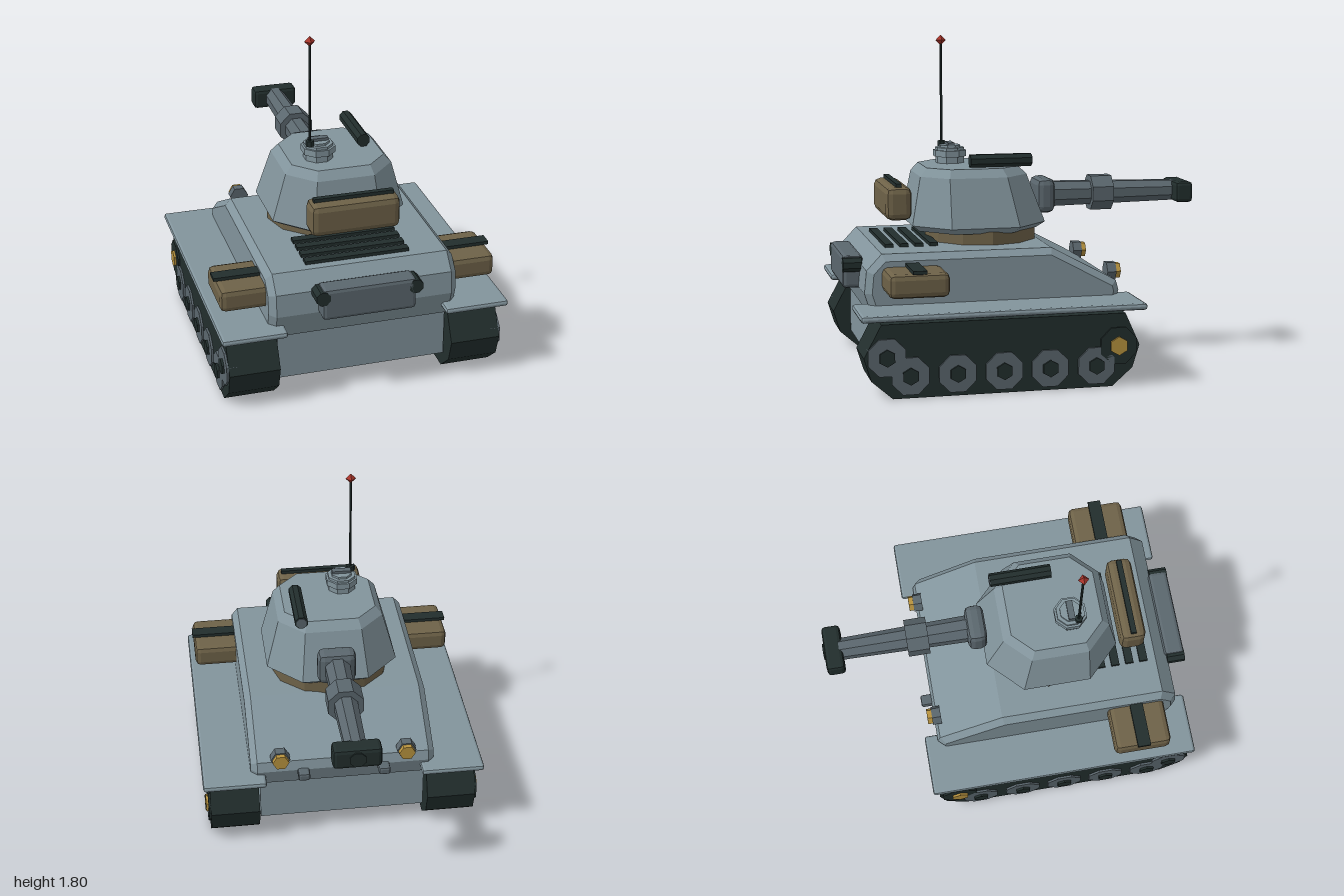
import * as THREE from 'three';
import { RoundedBoxGeometry } from 'three/addons/geometries/RoundedBoxGeometry.js';
import { ConvexGeometry } from 'three/addons/geometries/ConvexGeometry.js';

export function createModel() {
  const model = new THREE.Group();
  model.name = 'tank';

  const paint = (name, color) => Object.assign(new THREE.MeshStandardMaterial({ color }), { name });
  const armour = paint('armour blue grey', 0x82949c);
  const steel = paint('steel grey', 0x5b676e);
  const dark = paint('rubber black', 0x222e2d);
  const canvas = paint('canvas brown', 0x6e6248);
  const brass = paint('brass', 0xb8933f);
  const red = paint('red', 0xa8352b);

  // Faceted mesh at a position
  function add(name, geo, mat, x = 0, y = 0, z = 0) {
    const g = geo.index ? geo.toNonIndexed() : geo;
    g.computeVertexNormals();
    const mesh = new THREE.Mesh(g, mat);
    mesh.name = name;
    mesh.position.set(x, y, z);
    model.add(mesh);
    return mesh;
  }
  const box = (w, h, d) => new THREE.BoxGeometry(w, h, d);
  const chamferBox = (w, h, d, r) => new RoundedBoxGeometry(w, h, d, 1, r);
  // Prism with a flat side on top, lying along x or z
  function prism(axis, rA, rB, length, sides) {
    const g = new THREE.CylinderGeometry(rA, rB, length, sides);
    g.rotateY(Math.PI / sides);
    return axis === 'x' ? g.rotateZ(-Math.PI / 2) : g.rotateX(-Math.PI / 2);
  }
  // Side profile given as [z, y], extruded across x
  function sideExtrude(points, width, bevel) {
    const shape = new THREE.Shape(points.map(([z, y]) => new THREE.Vector2(z, y)));
    const depth = width - 2 * bevel;
    const g = new THREE.ExtrudeGeometry(shape, {
      depth, bevelEnabled: bevel > 0, bevelThickness: bevel, bevelSize: bevel,
      bevelOffset: -bevel, bevelSegments: 1,
    });
    return g.translate(0, 0, -depth / 2).rotateY(-Math.PI / 2);
  }

  // Hull
  add('lowerHull', box(0.91, 0.29, 1.26), armour, 0, 0.255, 0.23);
  add('upperHull', sideExtrude([
    [0.87, 0.365], [0.912, 0.5], [0.9, 0.62], [0.82, 0.705],
    [-0.085, 0.705], [-0.44, 0.515], [-0.455, 0.46], [-0.425, 0.365],
  ], 1.01, 0.035), armour);

  // Running gear, fenders, side boxes and lamps, mirrored
  const trackProfile = [
    [0.866, 0.39], [0.957, 0.22], [0.92, 0.1], [0.81, 0.004],
    [-0.345, 0.004], [-0.455, 0.1], [-0.492, 0.22], [-0.415, 0.39],
  ];
  const wheels = [0.72, 0.476, 0.233, -0.01, -0.257].map((z) => [z, 0.12]);
  wheels.push([0.84, 0.22]);
  for (const s of [1, -1]) {
    add('track', sideExtrude(trackProfile, 0.268, 0), dark, s * 0.599);
    add('fender', chamferBox(0.345, 0.035, 1.5, 0.015), armour, s * 0.598, 0.424, 0.223);
    for (const [z, y] of wheels) {
      add('wheel', prism('x', 0.104, 0.104, 0.06, 8), steel, s * 0.714, y, z);
      add('wheelHub', new THREE.CylinderGeometry(0.045, 0.045, 0.04, 6).rotateZ(Math.PI / 2).rotateX(Math.PI / 2),
        dark, s * 0.736, y, z);
    }
    add('idlerWheel', prism('x', 0.104, 0.104, 0.06, 8), dark, s * 0.714, 0.22, -0.377);
    add('idlerHub', new THREE.CylinderGeometry(0.05, 0.05, 0.04, 6).rotateZ(Math.PI / 2).rotateX(Math.PI / 2),
      brass, s * 0.736, 0.22, -0.377);

    add('sideBox', chamferBox(0.28, 0.125, 0.315, 0.03), canvas, s * 0.602, 0.578, 0.667);
    add('sideBoxStrap', box(0.29, 0.018, 0.072), dark, s * 0.605, 0.65, 0.667);

    add('headlightHousing', prism('z', 0.053, 0.053, 0.05, 6), steel, s * 0.345, 0.545, -0.442);
    add('headlightLens', prism('z', 0.045, 0.045, 0.03, 6), brass, s * 0.345, 0.545, -0.478);
    add('towLug', chamferBox(0.064, 0.045, 0.07, 0.012), steel, s * 0.22, 0.447, -0.478);

    add('exhaust', prism('z', 0.04, 0.04, 0.1, 8), dark, s * 0.247, 0.617, 0.945);
  }

  // Rear deck grilles and rear bin
  for (let i = 0; i < 4; i++) {
    add('grilleBar', box(0.56, 0.03, 0.045), dark, 0, 0.708, 0.51 + i * 0.08);
  }
  add('rearBin', chamferBox(0.5, 0.175, 0.11, 0.02), steel, 0, 0.577, 0.94);

  // Turret: stacked eight-cornered rings
  add('turretRing', new THREE.CylinderGeometry(0.335, 0.335, 0.08, 12).scale(1, 1, 0.92), canvas, 0, 0.735, 0.2);
  const rings = [ // y, half width, near z, far z, corner cut
    [0.765, 0.315, -0.08, 0.565, 0.165], [0.8, 0.362, -0.122, 0.607, 0.18],
    [1.06, 0.29, -0.025, 0.558, 0.135], [1.105, 0.252, 0.02, 0.52, 0.11],
  ];
  const corners = [];
  for (const [y, w, z0, z1, c] of rings) {
    for (const s of [1, -1]) {
      for (const [x, z] of [[w - c, z0], [w, z0 + c], [w, z1 - c], [w - c, z1]]) {
        corners.push(new THREE.Vector3(s * x, y, z));
      }
    }
  }
  add('turret', new ConvexGeometry(corners), armour);
  add('turretBag', chamferBox(0.48, 0.178, 0.14, 0.035), canvas, 0, 0.926, 0.685);
  add('turretBagStrap', box(0.43, 0.02, 0.03), dark, 0, 1.024, 0.685);

  // Main gun
  add('mantlet', chamferBox(0.21, 0.19, 0.105, 0.035), steel, 0, 0.925, -0.153);
  add('barrel', prism('z', 0.06, 0.074, 0.74, 8), steel, 0, 0.927, -0.54);
  add('barrelCollar', prism('z', 0.102, 0.102, 0.12, 8), steel, 0, 0.927, -0.48);
  add('muzzleBrake', chamferBox(0.255, 0.115, 0.1, 0.02), dark, 0, 0.925, -0.941);
  add('muzzle', prism('z', 0.045, 0.045, 0.03, 8), dark, 0, 0.925, -0.983);

  // Roof gun
  add('roofGun', prism('z', 0.037, 0.037, 0.335, 8), dark, 0.177, 1.14, 0.125);
  add('roofGunTip', prism('z', 0.03, 0.03, 0.01, 8), steel, 0.177, 1.14, -0.043);

  // Hatch
  const hatchX = -0.092, hatchZ = 0.35;
  const drum = (r, h) => new THREE.CylinderGeometry(r, r, h, 8).rotateY(Math.PI / 8);
  add('hatchBase', drum(0.08, 0.1), armour, hatchX, 1.14, hatchZ);
  add('hatchRim', drum(0.092, 0.035), armour, hatchX, 1.158, hatchZ);
  add('hatchLid', drum(0.06, 0.015), armour, hatchX, 1.195, hatchZ);
  add('hatchHandle', box(0.105, 0.025, 0.035), steel, hatchX, 1.205, hatchZ);

  // Antenna
  add('antennaBase', new THREE.CylinderGeometry(0.022, 0.022, 0.03, 6), dark, -0.147, 1.205, 0.385);
  add('antenna', new THREE.CylinderGeometry(0.007, 0.007, 0.56, 6), dark, -0.147, 1.48, 0.385);
  add('antennaTip', new THREE.OctahedronGeometry(0.029), red, -0.147, 1.773, 0.385);

  return model;
}
